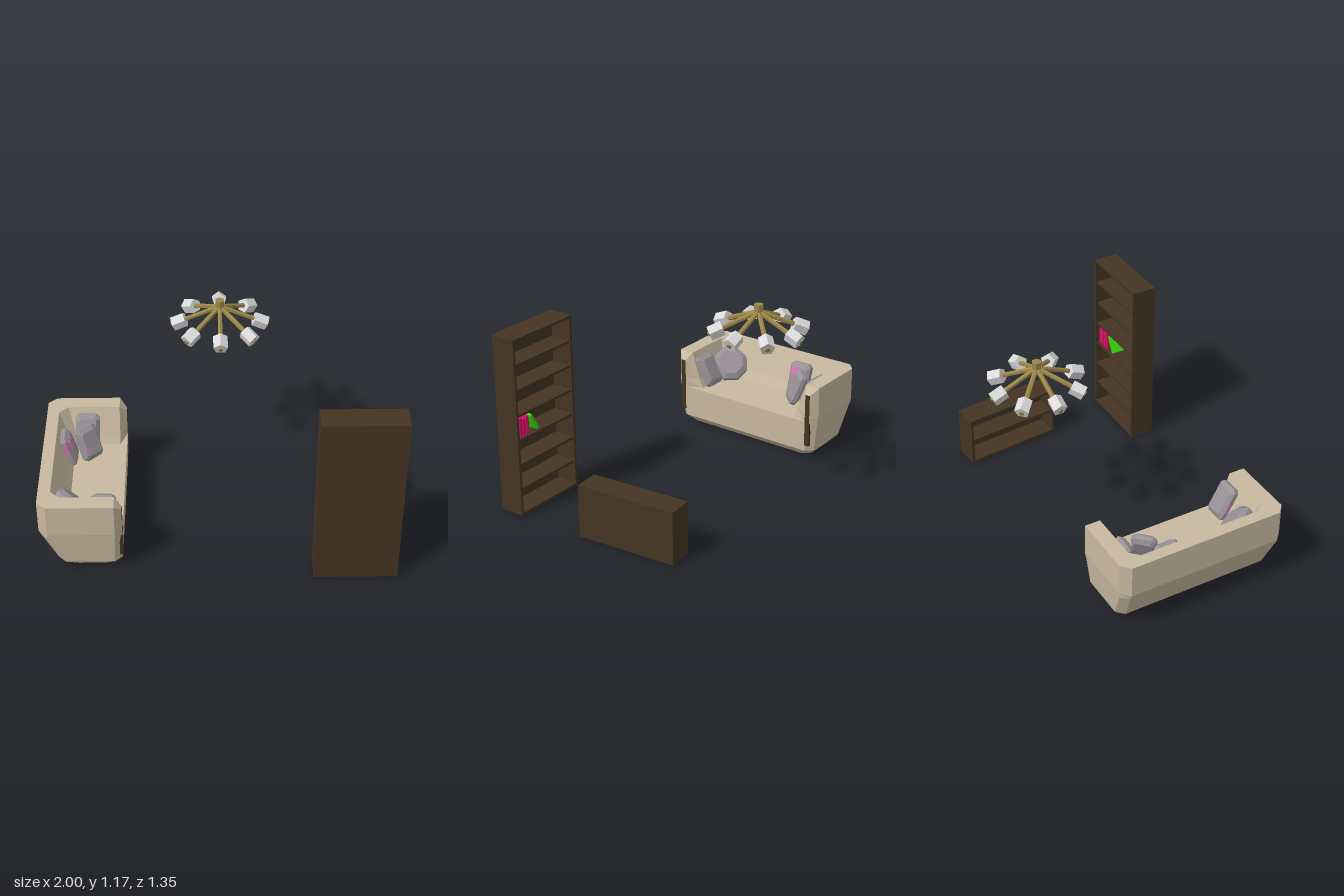
import * as THREE from 'three';

const mat = (name, color) => {
  const m = new THREE.MeshStandardMaterial({ color, flatShading: true });
  m.name = name;
  return m;
};

// Closed flat-shaded solid lofted through rings of equal point count, faces turned outward
function loft(rings) {
  const tris = [], n = rings[0].length;
  const cap = (r, flip) => {
    for (let i = 1; i < n - 1; i++) tris.push(flip ? [r[0], r[i + 1], r[i]] : [r[0], r[i], r[i + 1]]);
  };
  for (let k = 0; k < rings.length - 1; k++) {
    for (let i = 0; i < n; i++) {
      const j = (i + 1) % n, a = rings[k], b = rings[k + 1];
      tris.push([a[i], a[j], b[j]], [a[i], b[j], b[i]]);
    }
  }
  cap(rings[0], true);
  cap(rings[rings.length - 1], false);
  const v = (p) => new THREE.Vector3(...p);
  const volume = tris.reduce((s, [a, b, c]) => s + v(a).dot(v(b).cross(v(c))), 0);
  const pos = tris.flatMap(([a, b, c]) => (volume < 0 ? [a, c, b] : [a, b, c])).flat();
  const g = new THREE.BufferGeometry();
  g.setAttribute('position', new THREE.Float32BufferAttribute(pos, 3));
  g.computeVertexNormals();
  return g;
}

// Rectangle with cut corners as eight [u, v] points
const cutRect = (u0, u1, v0, v1, c) => [
  [u0 + c, v0], [u1 - c, v0], [u1, v0 + c], [u1, v1 - c],
  [u1 - c, v1], [u0 + c, v1], [u0, v1 - c], [u0, v0 + c]];

export function createModel() {
  const root = new THREE.Group();
  const fabric = mat('beige fabric', 0xc9b9a0);
  const wood = mat('dark wood', 0x443422);
  const brass = mat('brass', 0x9c8748);
  const glass = mat('pale glass', 0xdadada);
  const grey = mat('grey cushion', 0x979196);
  const pink = mat('pink pattern', 0xe070b4);
  const magenta = mat('magenta cover', 0xe01068);
  const green = mat('green cover', 0x35dc10);

  const add = (parent, name, geo, material, x = 0, y = 0, z = 0) => {
    const m = new THREE.Mesh(geo, material);
    m.name = name;
    m.position.set(x, y, z);
    parent.add(m);
    return m;
  };
  const group = (name, x = 0, y = 0, z = 0, parent = root) => {
    const g = new THREE.Group();
    g.name = name;
    g.position.set(x, y, z);
    parent.add(g);
    return g;
  };
  const box = (w, h, d) => new THREE.BoxGeometry(w, h, d);

  // Sofa base: level, back x, front x, half length
  const sofa = group('sofa', 0, 0, 0.09);
  const levels = [[0, -0.83, -0.59, 0.44], [0.05, -0.9, -0.54, 0.485], [0.245, -0.988, -0.535, 0.509]];
  add(sofa, 'sofaBase', loft(levels.map(([y, x0, x1, h]) =>
    cutRect(x0, x1, -h, h, 0.042).map(([x, z]) => [x, y, z]))), fabric);

  // Sofa back and arms: one U-shaped wall with sloped inner faces
  const section = (s, ox, oz, ix, iz, bx, bz, top) => [
    [Math.max(ox, -0.988), 0.24, s * Math.min(oz, 0.509)], [ox, 0.27, s * oz], [ox, top, s * oz],
    [ix, top, s * iz], [(ix + 2 * bx) / 3, 0.3, s * (iz + 2 * bz) / 3], [bx, 0.24, s * bz]];
  const stations = [
    [-0.535, 0.475, -0.535, 0.445, -0.535, 0.445, 0.42],
    [-0.575, 0.513, -0.575, 0.42, -0.575, 0.34, 0.465],
    [-0.95, 0.513, -0.88, 0.42, -0.81, 0.33, 0.465],
    [-1, 0.465, -0.93, 0.37, -0.84, 0.3, 0.465]];
  add(sofa, 'sofaBackAndArms', loft([
    ...stations.map((p) => section(1, ...p)),
    ...stations.slice().reverse().map((p) => section(-1, ...p))]), fabric);
  for (const s of [-1, 1]) add(sofa, 'armTrim', box(0.02, 0.33, 0.03), wood, -0.543, 0.255, s * 0.46);

  // Cushions: soft slabs, facing +z before yaw and backward lean
  const slab = (outline, t) => loft([[-1, 0.72], [-0.4, 1], [0.4, 1], [1, 0.72]].map(([k, s]) =>
    outline.map(([u, v]) => [u * s, v * s, k * t / 2])));
  const square = slab(cutRect(-0.07, 0.07, -0.1, 0.1, 0.018), 0.065);
  const round = slab(cutRect(-0.105, 0.105, -0.105, 0.105, 0.062), 0.075);
  const cushion = (name, geo, x, y, z, yaw, lean) => {
    const g = group(name, x, y, z);
    g.rotation.set(-lean, yaw, 0, 'YXZ');
    add(g, name + 'Body', geo, grey);
    return g;
  };
  cushion('armCushion', square, -0.765, 0.345, -0.26, 0, 0.45);
  const front = cushion('cornerCushion', square, -0.755, 0.34, -0.15, Math.PI / 4, 0.4);
  const back = cushion('backCushion', square, -0.868, 0.345, -0.1, Math.PI / 2, 0.3);
  cushion('roundCushion', round, -0.82, 0.335, 0.395, Math.PI * 0.72, 0.75);
  const end = cushion('endCushion', square, -0.64, 0.35, 0.43, Math.PI, 0.5);
  add(back, 'pinkPatch', box(0.05, 0.06, 0.004), pink, -0.025, 0.04, 0.033);
  add(back, 'pinkEdge', box(0.004, 0.09, 0.02), pink, -0.07, 0.03, 0);
  add(front, 'pinkSpot', box(0.02, 0.025, 0.004), pink, -0.03, -0.04, 0.033);
  add(end, 'pinkEdge', box(0.004, 0.05, 0.02), pink, 0.07, -0.02, 0);

  // Open shelving unit, opening toward local +z
  const T = 0.015;
  const shelving = (name, w, h, d, rows, x, z, yaw) => {
    const g = group(name, x, 0, z);
    g.rotation.y = yaw;
    for (const s of [-1, 1]) add(g, 'sidePanel', box(T, h, d), wood, s * (w - T) / 2, h / 2, 0);
    add(g, 'backPanel', box(w - 2 * T, h, T), wood, 0, h / 2, (T - d) / 2);
    for (let i = 0; i <= rows; i++) {
      const inset = i > 0 && i < rows ? 0.008 : 0;
      add(g, 'shelf', box(w - 2 * T, T, d - T - inset), wood, 0, T / 2 + (h - T) * i / rows, (T - inset) / 2);
    }
    return g;
  };
  const tall = shelving('bookcase', 0.47, 1.055, 0.15, 7, 0.765, 0.595, Math.PI);
  shelving('lowShelf', 0.6, 0.313, 0.15, 2, 0.879, -0.18, -1.479);

  // Books on the middle shelf
  const shelfY = T + (1.055 - T) * 3 / 7;
  [0.105, 0.115, 0.1, 0.11].forEach((h, i) =>
    add(tall, 'book', box(0.021, h, 0.085), magenta, -0.205 + i * 0.025, shelfY + h / 2, 0.01));
  const leaning = add(tall, 'leaningBook', box(0.02, 0.11, 0.085), green, -0.075, shelfY + 0.054, 0.01);
  leaning.rotation.z = 0.5;

  // Chandelier: hub with eight sloping arms and five-sided shades
  const lamp = group('chandelier', 0.022, 0, -0.388);
  add(lamp, 'hub', new THREE.CylinderGeometry(0.028, 0.028, 0.07, 6), brass, 0, 1.135, 0);
  const armGeo = new THREE.CylinderGeometry(0.014, 0.014, 0.302, 6);
  const shadeGeo = new THREE.CylinderGeometry(0.043, 0.043, 0.08, 5, 1, false, Math.PI);
  for (let i = 0; i < 8; i++) {
    const arm = group('lampArm', 0, 1.128, 0, lamp);
    arm.rotation.set(Math.PI / 2 + 0.4, i * Math.PI / 4, 0, 'YXZ');
    add(arm, 'armRod', armGeo, brass, 0, 0.151, 0);
    add(arm, 'shade', shadeGeo, glass, 0, 0.254, 0);
  }
  return root;
}
